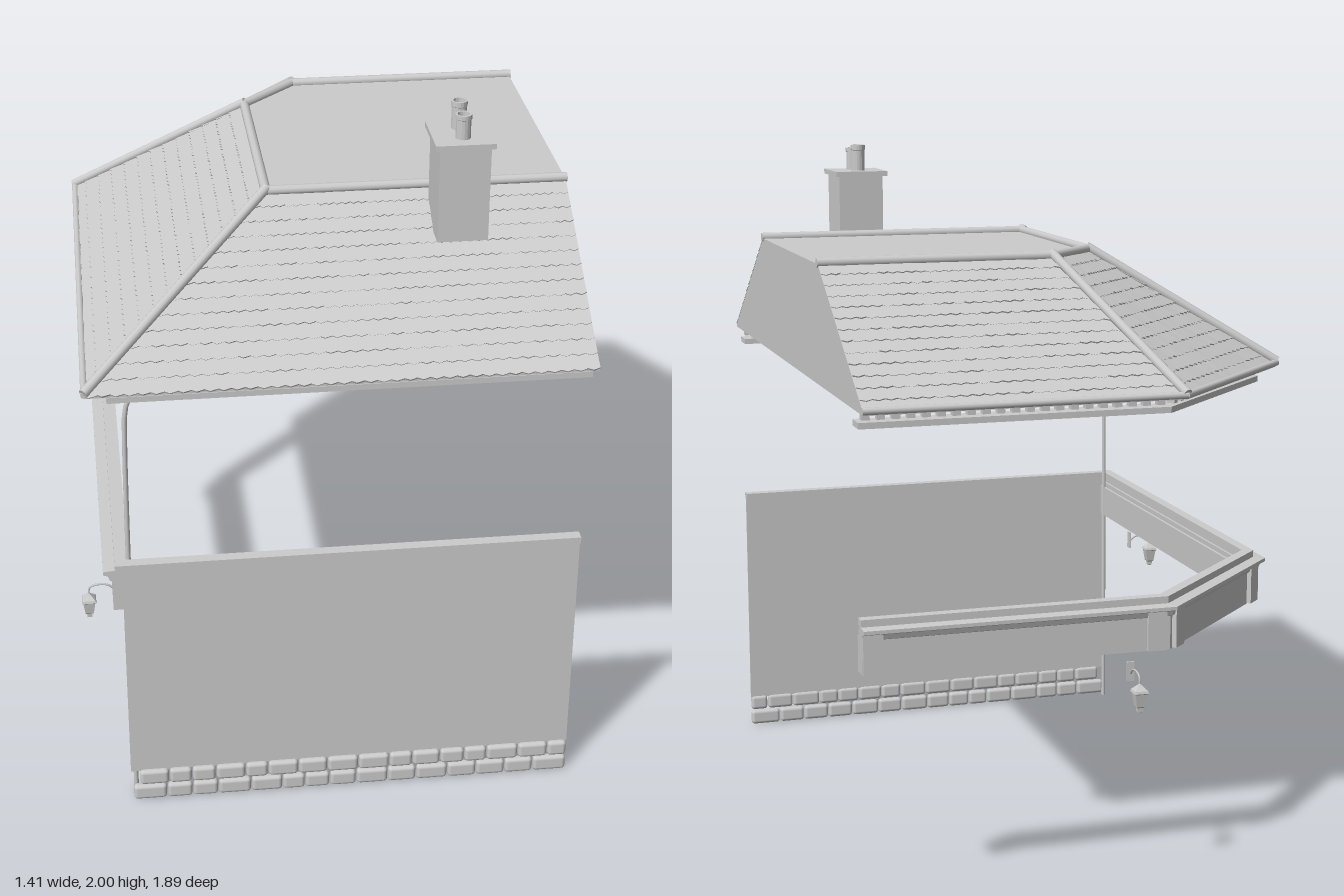
import * as THREE from 'three';
import { RoundedBoxGeometry } from 'three/addons/geometries/RoundedBoxGeometry.js';

const grey = new THREE.MeshStandardMaterial({ color: 0xcccccc, side: THREE.DoubleSide });
const flat = new THREE.MeshStandardMaterial({ color: 0xcccccc, side: THREE.DoubleSide, flatShading: true });
const V = (x, y, z) => new THREE.Vector3(x, y, z);

function add(parent, name, geometry, material = grey, x = 0, y = 0, z = 0) {
  const mesh = new THREE.Mesh(geometry, material);
  mesh.name = name;
  mesh.position.set(x, y, z);
  parent.add(mesh);
  return mesh;
}

function group(parent, name) {
  const g = new THREE.Group();
  g.name = name;
  parent.add(g);
  return g;
}

function fromTriangles(points) {
  const g = new THREE.BufferGeometry().setFromPoints(points);
  g.computeVertexNormals();
  return g;
}

const quad = (out, a, b, c, d) => out.push(a, b, c, a, c, d);

let seed = 7;
function rand() {
  seed = (seed * 16807) % 2147483647;
  return seed / 2147483647;
}

// Round bar between two points, lifted slightly
function bar(parent, name, a, b, r, lift) {
  const dir = b.clone().sub(a);
  const mesh = add(parent, name, new THREE.CylinderGeometry(r, r, dir.length() + r / 2, 10));
  mesh.position.copy(a).add(b).multiplyScalar(0.5);
  mesh.position.y += lift;
  mesh.quaternion.setFromUnitVectors(V(0, 1, 0), dir.normalize());
}

// Outward normal of a plan segment [x, z]
function outward(a, b) {
  return new THREE.Vector2(b[1] - a[1], a[0] - b[0]).normalize();
}

// Sweep a closed profile [offset, y] along a mitred plan path
function sweep(path, profile) {
  const last = path.length - 1;
  const rings = path.map((p, i) => {
    const n1 = outward(path[Math.max(i - 1, 0)], path[Math.max(i, 1)]);
    const n2 = outward(path[Math.min(i, last - 1)], path[Math.min(i + 1, last)]);
    const m = n1.clone().add(n2).divideScalar(1 + n1.dot(n2));
    return profile.map(([o, y]) => V(p[0] + m.x * o, y, p[1] + m.y * o));
  });
  const out = [];
  for (let i = 0; i < last; i++) {
    for (let j = 0; j < profile.length; j++) {
      const k = (j + 1) % profile.length;
      quad(out, rings[i][j], rings[i][k], rings[i + 1][k], rings[i + 1][j]);
    }
  }
  const faces = THREE.ShapeUtils.triangulateShape(profile.map(p => new THREE.Vector2(...p)), []);
  for (const ring of [rings[0], rings[last]]) {
    for (const f of faces) out.push(...f.map(i => ring[i]));
  }
  return fromTriangles(out);
}

const band = (o0, o1, y0, y1) => [[o0, y0], [o1, y0], [o1, y1], [o0, y1]];

// Plan of the building: front, side, chamfered corner, back
const plan = [[0.69, 0.86], [-0.6, 0.86], [-0.6, -0.41], [-0.17, -0.84], [0.695, -0.84]];
// Roof plan: eaves and upper edge, front left first, seen anticlockwise from above
const eaves = [[-0.68, 0.93], [0.695, 0.93], [0.695, -0.92], [-0.2, -0.92], [-0.67, -0.44]];
const crown = [[-0.15, 0.42], [0.695, 0.42], [0.695, -0.39], [0.01, -0.39], [-0.15, -0.23]];

// Overlapping tile courses on one slope
function tiles(a, b, c, d) {
  const out = [], rows = 13;
  const normal = b.clone().sub(a).cross(d.clone().sub(a)).normalize();
  const cols = Math.round(a.distanceTo(b) / 0.035);
  const at = (u, t, h) => a.clone().lerp(b, u).lerp(d.clone().lerp(c, u), t).addScaledVector(normal, h);
  for (let r = 0; r < rows; r++) {
    for (let i = 0; i < cols; i++) {
      const u0 = i / cols, u1 = (i + 1) / cols, um = (u0 + u1) / 2;
      const t0 = r / rows - 0.008, t1 = (r + 1) / rows, h = 0.003 + rand() * 0.004;
      const l = at(u0, t0 + 0.006, h), m = at(um, t0 - 0.004, h), n = at(u1, t0 + 0.006, h);
      const p = at(u1, t1, 0.002), q = at(u0, t1, 0.002);
      out.push(l, m, n);
      quad(out, l, n, p, q);
      quad(out, at(u0, t0 + 0.006, 0), at(um, t0 - 0.004, 0), m, l);
      quad(out, at(um, t0 - 0.004, 0), at(u1, t0 + 0.006, 0), n, m);
    }
  }
  return fromTriangles(out);
}

function buildRoof(root) {
  const roof = group(root, 'roof');
  const level = (ring, y) => ring.map(([x, z]) => V(x, y, z));
  const floor = level(eaves, 1.38), low = level(eaves, 1.388), top = level(crown, 1.72);
  const body = [];
  for (let i = 0; i < 5; i++) {
    const k = (i + 1) % 5;
    quad(body, floor[i], floor[k], low[k], low[i]);
    quad(body, low[i], low[k], top[k], top[i]);
    if (i > 0 && i < 4) {
      body.push(top[0], top[i], top[k]);
      body.push(floor[0], floor[k], floor[i]);
    }
  }
  add(roof, 'roofBody', fromTriangles(body), flat);
  for (const i of [0, 2, 3, 4]) {
    const k = (i + 1) % 5;
    add(roof, 'tiledSlope', tiles(low[i], low[k], top[k], top[i]), flat);
    bar(roof, 'ridgeCap', top[i], top[k], 0.014, 0.004);
    if (i > 0) bar(roof, 'gutter', low[i], low[k], 0.01, 0.004);
  }
  for (const i of [0, 3, 4]) bar(roof, 'hipCap', low[i], top[i], 0.014, 0.01);

  // Soffit band and dentils under the eaves
  add(roof, 'soffitBand', sweep(plan, band(-0.045, 0.022, 1.335, 1.352)), flat);
  for (let i = 0; i < plan.length - 1; i++) {
    const [ax, az] = plan[i], [bx, bz] = plan[i + 1];
    const n = outward(plan[i], plan[i + 1]), len = Math.hypot(bx - ax, bz - az);
    const count = Math.round(len / 0.042);
    for (let j = 0; j < count; j++) {
      const t = (j + 0.5) / count;
      const block = add(roof, 'dentil', new THREE.BoxGeometry(0.022, 0.022, 0.022), flat,
        ax + (bx - ax) * t + n.x * 0.01, 1.369, az + (bz - az) * t + n.y * 0.01);
      block.rotation.y = Math.atan2(n.x, n.y);
    }
  }
}

function buildChimney(root) {
  const g = group(root, 'chimney');
  add(g, 'stack', new THREE.BoxGeometry(0.14, 0.27, 0.16), flat, 0.37, 1.77, 0.54);
  add(g, 'stackCap', new THREE.BoxGeometry(0.165, 0.015, 0.18), flat, 0.37, 1.912, 0.535);
  for (const [z, h] of [[0.5, 0.08], [0.57, 0.068]]) {
    const pot = [[0.021, 0], [0.021, h * 0.8], [0.023, h * 0.82], [0.023, h], [0.017, h], [0.015, 0.02], [0, 0.02]];
    add(g, 'chimneyPot', new THREE.LatheGeometry(pot.map(p => new THREE.Vector2(...p)), 16), flat, 0.37, 1.92, z);
  }
}

function buildFrontWall(root) {
  const g = group(root, 'frontWall');
  add(g, 'wallPanel', new THREE.BoxGeometry(1.29, 0.7, 0.006), flat, 0.045, 0.45, 0.866);
  // Two courses of rounded footing stones carry the panel
  for (const [y, start] of [[0.028, -0.595], [0.08, -0.575]]) {
    let x = start;
    while (x < 0.67) {
      let w = 0.06 + rand() * 0.04;
      if (x + w > 0.65) w = 0.69 - x;
      add(g, 'footingStone', new RoundedBoxGeometry(w - 0.003, 0.048, 0.026, 2, 0.011), grey, x + w / 2, y, 0.87);
      x += w;
    }
  }
}

function buildFascia(root) {
  const g = group(root, 'fascia');
  const side = [[-0.6, 0.87], ...plan.slice(2)];
  add(g, 'topMoulding', sweep(plan, band(-0.012, 0.02, 0.8, 0.82)), flat);
  // Deep board with a projecting moulding outside and a small step inside
  add(g, 'fasciaBoard', sweep(side, [[-0.02, 0.67], [0.028, 0.67], [0.028, 0.765], [0.035, 0.768],
    [0.04, 0.782], [0.053, 0.787], [0.053, 0.797], [0.02, 0.8], [-0.005, 0.8], [-0.005, 0.785],
    [-0.012, 0.785], [-0.012, 0.77], [-0.02, 0.77]]), flat);
  // Brackets on both sides of the chamfer and at the back end
  for (const [i, fromEnd] of [[0, 1], [1, 0], [1, 1], [2, 0], [2, 1]]) {
    const a = side[i], b = side[i + 1], n = outward(a, b);
    const len = Math.hypot(b[0] - a[0], b[1] - a[1]);
    const t = fromEnd ? 1 - 0.028 / len : 0.03 / len;
    const m = add(g, 'bracket', new THREE.BoxGeometry(0.055, 0.112, 0.045), flat,
      a[0] + (b[0] - a[0]) * t + n.x * 0.019, 0.728, a[1] + (b[1] - a[1]) * t + n.y * 0.019);
    m.rotation.y = Math.atan2(n.x, n.y);
  }
}

// Square lantern on a curved arm; local +z points away from the wall
function buildLamp(root, x, z, turn) {
  const g = group(root, 'wallLamp');
  g.position.set(x, 0, z);
  g.rotation.y = turn;
  add(g, 'mount', new THREE.BoxGeometry(0.022, 0.055, 0.006), flat, 0, 0.612, 0);
  const arm = new THREE.CatmullRomCurve3([V(0, 0.605, 0), V(0, 0.622, 0.02), V(0, 0.624, 0.055), V(0, 0.615, 0.072), V(0, 0.59, 0.075)]);
  add(g, 'arm', new THREE.TubeGeometry(arm, 16, 0.003, 6));
  const lantern = [[0, 0.515], [0.01, 0.518], [0.011, 0.53], [0.017, 0.534], [0.024, 0.57], [0.029, 0.573], [0.026, 0.58], [0.009, 0.592], [0, 0.6]];
  const body = add(g, 'lantern', new THREE.LatheGeometry(lantern.map(p => new THREE.Vector2(...p)), 4), flat, 0, 0, 0.075);
  body.rotation.y = Math.PI / 4;
}

export function createModel() {
  const root = new THREE.Group();
  root.name = 'cornerBuilding';
  buildRoof(root);
  buildChimney(root);
  buildFrontWall(root);
  buildFascia(root);
  buildLamp(root, -0.62, 0.67, -Math.PI / 2);
  buildLamp(root, -0.07, -0.855, Math.PI);
  // Drainpipe from the eaves to the ground
  const path = new THREE.CatmullRomCurve3([V(-0.585, 0.005, 0.832), V(-0.582, 0.6, 0.832), V(-0.577, 1.2, 0.832),
    V(-0.573, 1.28, 0.832), V(-0.56, 1.325, 0.832), V(-0.53, 1.345, 0.832)]);
  add(root, 'drainpipe', new THREE.TubeGeometry(path, 40, 0.007, 8));
  return root;
}
